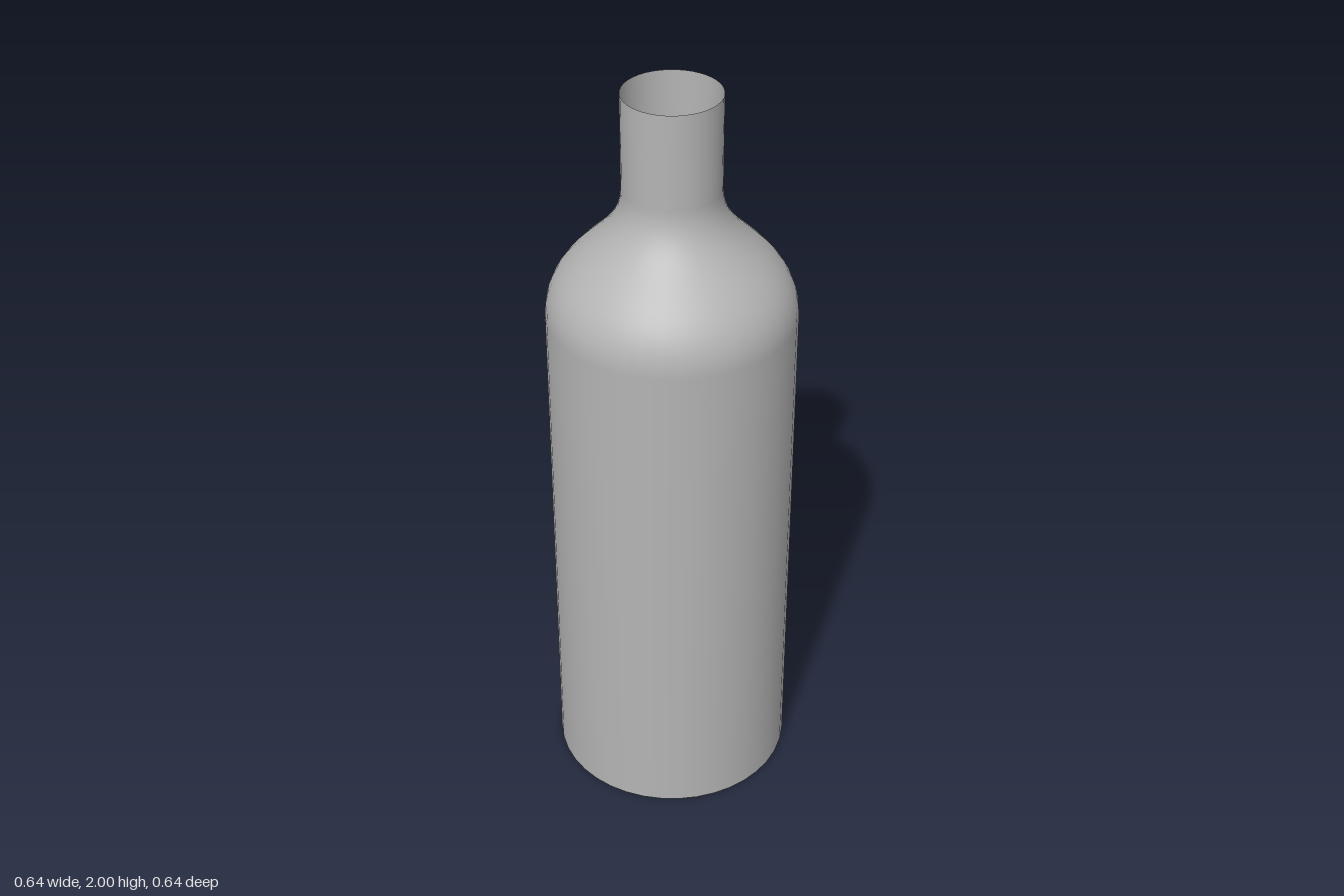
import * as THREE from 'three';

const SEGMENTS = 40;

export function createModel() {
  const group = new THREE.Group();
  group.name = 'bottle';

  const grey = new THREE.MeshStandardMaterial({ color: 0xb4b4b4, side: THREE.DoubleSide });
  grey.name = 'grey';

  const addLathe = (name, points) => {
    const mesh = new THREE.Mesh(new THREE.LatheGeometry(points, SEGMENTS), grey);
    mesh.name = name;
    group.add(mesh);
  };
  const p = (r, y) => new THREE.Vector2(r, y);

  // Base, pushed up slightly towards the centre
  addLathe('base', [p(0, 0.05), p(0.04, 0.041), p(0.12, 0.024), p(0.22, 0.009), p(0.32, 0)]);

  // Straight body, S-curved shoulder and open neck as one thin wall
  const shoulder = new THREE.CubicBezierCurve(p(0.32, 1.4), p(0.32, 1.57), p(0.125, 1.6), p(0.125, 1.75));
  addLathe('wall', [p(0.32, 0), ...shoulder.getPoints(16), p(0.125, 2)]);

  return group;
}
